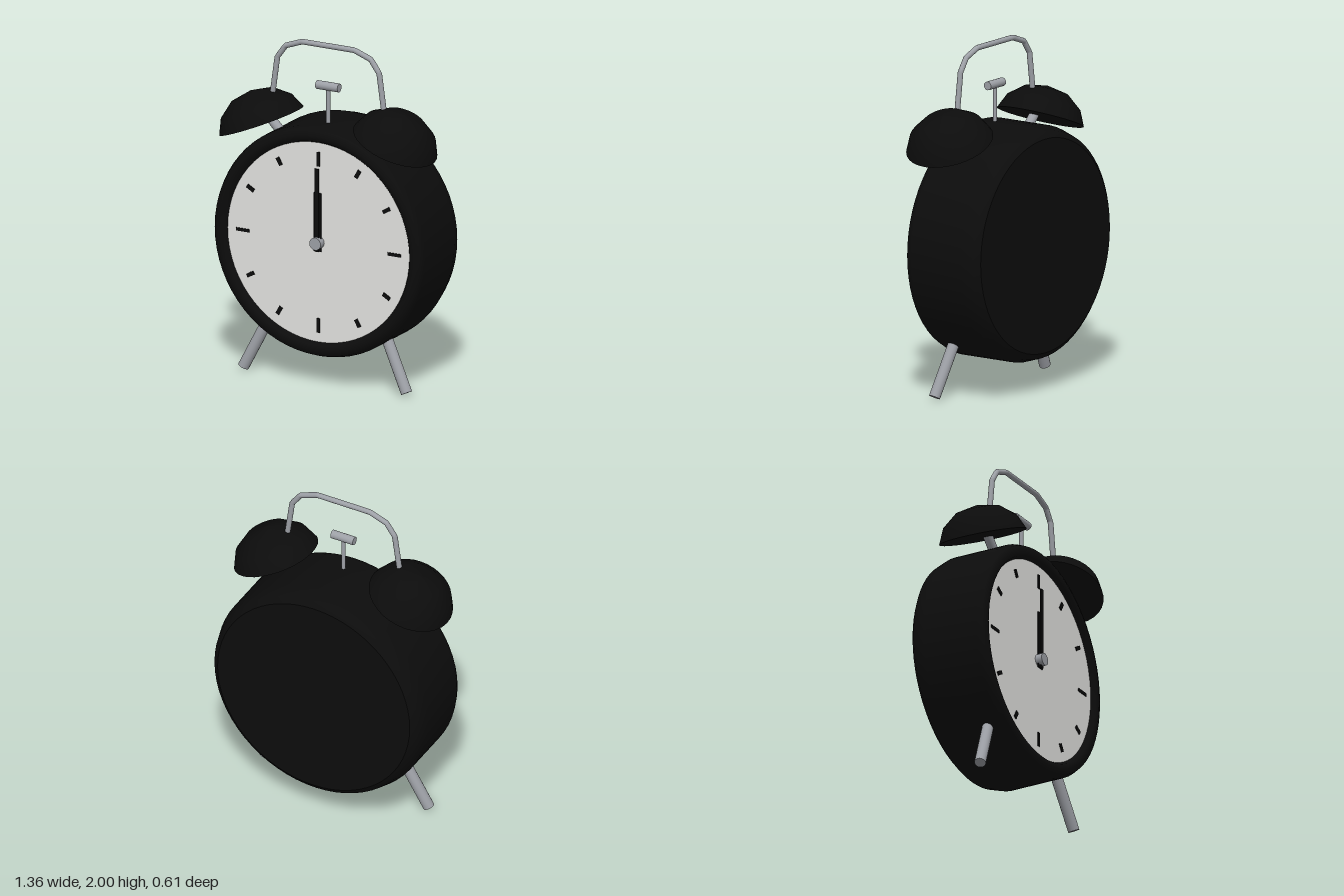
import * as THREE from 'three';

const black = new THREE.MeshStandardMaterial({ color: 0x0c0c0c });
black.name = 'black enamel';
const ivory = new THREE.MeshStandardMaterial({ color: 0xe4e4e1 });
ivory.name = 'dial white';
const steel = new THREE.MeshStandardMaterial({ color: 0x9ea1a7 });
steel.name = 'grey steel';

const CENTRE_Y = 0.85;
const TOP_Z = 0.048; // depth of bells, handle and hammer

function add(parent, name, geometry, material) {
  const mesh = new THREE.Mesh(geometry, material);
  mesh.name = name;
  parent.add(mesh);
  return mesh;
}

// Straight round bar between two points
function bar(parent, name, from, to, radius, sides = 16) {
  const a = new THREE.Vector3(...from), b = new THREE.Vector3(...to);
  const dir = b.clone().sub(a);
  const mesh = add(parent, name, new THREE.CylinderGeometry(radius, radius, dir.length(), sides), steel);
  mesh.position.copy(a).add(b).multiplyScalar(0.5);
  mesh.quaternion.setFromUnitVectors(new THREE.Vector3(0, 1, 0), dir.normalize());
  return mesh;
}

const profile = (pairs) => pairs.map(([r, y]) => new THREE.Vector2(r, y));

// Drum with bevelled back, rounded rim and dial recess; back plate separate for a sharp edge
function buildCase(group) {
  const shell = profile([
    [0.62, -0.305], [0.655, -0.278], [0.68, -0.2], [0.68, 0.14],
    [0.665, 0.178], [0.635, 0.19], [0.605, 0.185], [0.588, 0.155],
  ]);
  const body = add(group, 'caseShell', new THREE.LatheGeometry(shell, 64).rotateX(Math.PI / 2), black);
  body.position.y = CENTRE_Y;
  const back = add(group, 'backPlate', new THREE.CircleGeometry(0.62, 64).rotateY(Math.PI), black);
  back.position.set(0, CENTRE_Y, -0.305);
}

// Dial, hour marks, hands and hub
function buildDial(group) {
  const dial = new THREE.Group();
  dial.name = 'dial';
  dial.position.set(0, CENTRE_Y, 0.16);
  group.add(dial);
  add(dial, 'dialFace', new THREE.CircleGeometry(0.592, 64), ivory);
  for (let i = 0; i < 12; i++) {
    const long = i % 3 === 0;
    const inner = long ? 0.45 : 0.485, outer = 0.535;
    const mark = new THREE.BoxGeometry(long ? 0.018 : 0.023, outer - inner, 0.006);
    mark.translate(0, (inner + outer) / 2, 0.003).rotateZ(-i * Math.PI / 6);
    add(dial, 'hourMark', mark, black);
  }
  add(dial, 'minuteHand', new THREE.BoxGeometry(0.027, 0.49, 0.008).translate(0, 0.195, 0.022), black);
  add(dial, 'hourHand', new THREE.BoxGeometry(0.05, 0.345, 0.008).translate(0, 0.123, 0.012), black);
  add(dial, 'hub', new THREE.CylinderGeometry(0.037, 0.037, 0.042, 16).rotateX(Math.PI / 2).translate(0, 0, 0.021), steel);
}

// Tilted bell, its stem and the leg on one side
function buildSide(group, side) {
  const label = side > 0 ? 'left' : 'right';
  const bell = new THREE.Group();
  bell.name = label + 'Bell';
  bell.position.set(side * 0.435, 1.475, TOP_Z);
  bell.rotation.z = -side * 0.385;
  group.add(bell);
  const dome = profile([[0.253, 0], [0.213, 0.088], [0.126, 0.158], [0, 0.184]]);
  add(bell, 'bellDome', new THREE.LatheGeometry(dome, 32), black);
  add(bell, 'bellUnderside', new THREE.CircleGeometry(0.253, 32).rotateX(Math.PI / 2), black);
  bar(group, label + 'BellStem', [side * 0.25, 1.375, TOP_Z], [side * 0.42, 1.545, TOP_Z], 0.028);
  bar(group, label + 'Leg', [side * 0.53, 0.016, 0.085], [side * 0.36, 0.36, 0.048], 0.033);
}

// Carrying handle with angular shoulders
function buildHandle(group) {
  const half = [[0.366, 1.62], [0.331, 1.87], [0.277, 1.945], [0.17, 1.984]];
  const points = [
    ...half.map(([x, y]) => new THREE.Vector3(-x, y, TOP_Z)),
    ...half.slice().reverse().map(([x, y]) => new THREE.Vector3(x, y, TOP_Z)),
  ];
  const path = new THREE.CurvePath();
  for (let i = 1; i < points.length; i++) path.add(new THREE.LineCurve3(points[i - 1], points[i]));
  add(group, 'handle', new THREE.TubeGeometry(path, 80, 0.016, 12), steel);
}

export function createModel() {
  const clock = new THREE.Group();
  clock.name = 'alarmClock';
  buildCase(clock);
  buildDial(clock);
  for (const side of [-1, 1]) buildSide(clock, side);
  buildHandle(clock);
  bar(clock, 'hammerRod', [0, 1.48, TOP_Z], [0, 1.74, TOP_Z], 0.012, 12);
  bar(clock, 'hammerHead', [-0.072, 1.745, TOP_Z], [0.072, 1.745, TOP_Z], 0.025);
  return clock;
}
